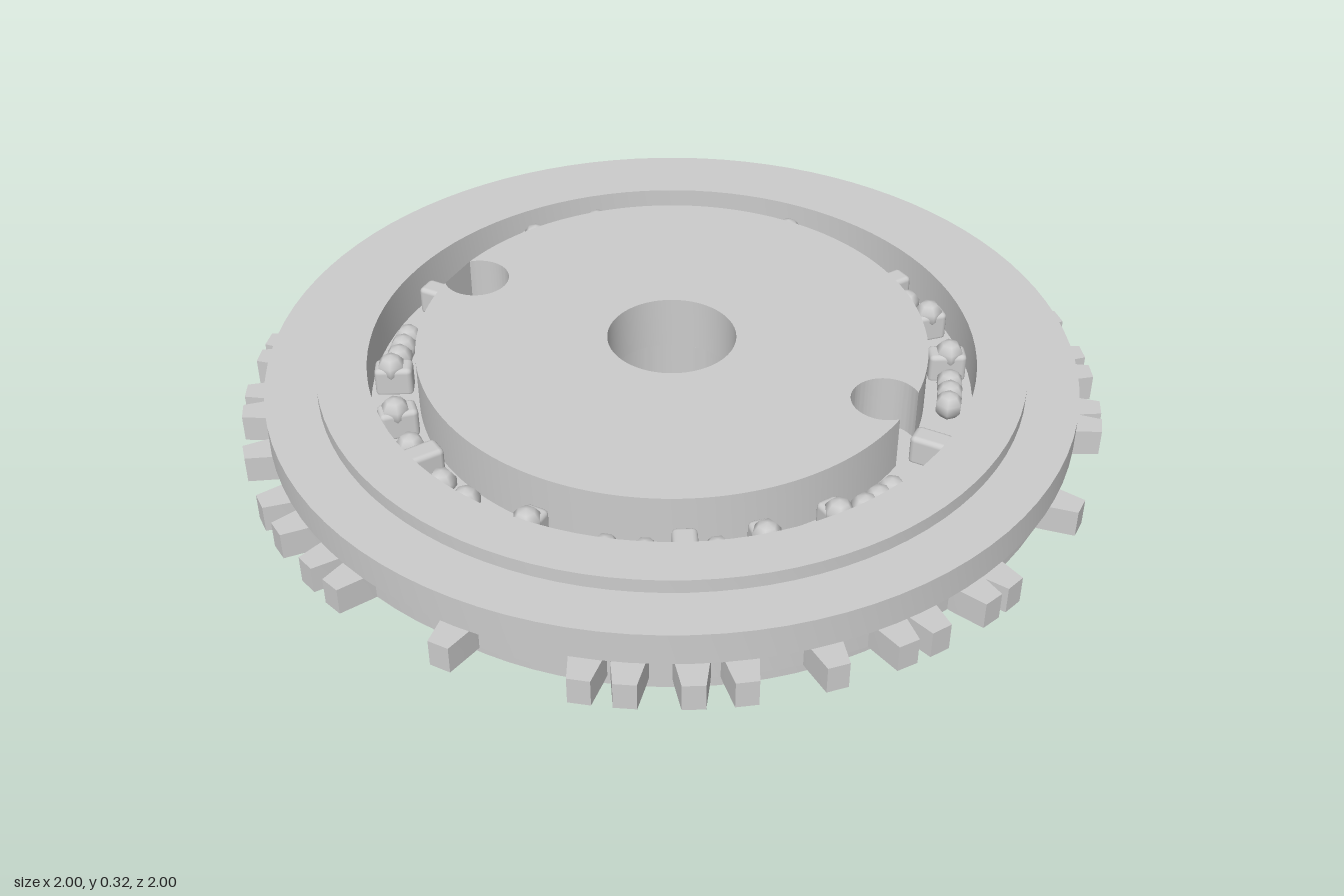
import * as THREE from 'three';
import { toCreasedNormals } from 'three/addons/utils/BufferGeometryUtils.js';
import { RoundedBoxGeometry } from 'three/addons/geometries/RoundedBoxGeometry.js';

const HOLE = 0.15, FLOOR = 0.19, TRACK = 0.65;
const rad = THREE.MathUtils.degToRad;

export function createModel() {
  const model = new THREE.Group();
  model.name = 'gearPlate';
  const grey = new THREE.MeshStandardMaterial({ color: 0xcccccc });

  function add(name, geometry, parent = model) {
    const mesh = new THREE.Mesh(geometry, grey);
    mesh.name = name;
    parent.add(mesh);
    return mesh;
  }

  // Extrude a plan outline upwards from y0 to y1
  function slab(shape, y0, y1, curveSegments = 24) {
    const g = new THREE.ExtrudeGeometry(shape, { depth: y1 - y0, bevelEnabled: false, curveSegments });
    g.rotateX(-Math.PI / 2);
    g.translate(0, y0, 0);
    return toCreasedNormals(g, 0.5);
  }

  function boreHole(shape) {
    const hole = new THREE.Path();
    hole.absarc(0, 0, HOLE, 0, Math.PI * 2, true);
    shape.holes.push(hole);
    return shape;
  }

  // Angles measured from the z axis, mirrored into all four quadrants
  const mirrored = (angles) => [...new Set(angles.flatMap((a) => [a, 180 - a, 180 + a, (360 - a) % 360]))];

  // Stepped body: lower flange, groove, toothed band, upper flange, rim and bead channel
  const profile = [
    [HOLE, 0.02], [0.84, 0.025], [0.84, 0.09], [0.82, 0.09], [0.82, 0.125],
    [0.915, 0.125], [0.915, 0.19], [0.94, 0.19], [0.94, 0.267], [0.82, 0.267],
    [0.82, 0.3], [0.705, 0.3], [0.705, FLOOR], [HOLE, FLOOR], [HOLE, 0.02],
  ].map(([r, y]) => new THREE.Vector2(r, y));
  add('body', toCreasedNormals(new THREE.LatheGeometry(profile, 96), 0.5));

  // Raised centre disc with two round notches opening through its edge
  const discR = 0.593, notchX = 0.535, notchR = 0.078;
  const cutX = (discR ** 2 + notchX ** 2 - notchR ** 2) / (2 * notchX);
  const cutZ = Math.sqrt(discR ** 2 - cutX ** 2);
  const edgeA = Math.atan2(cutZ, cutX);
  const notchA = Math.atan2(cutZ, cutX - notchX);
  const disc = new THREE.Shape();
  disc.absarc(0, 0, discR, edgeA, Math.PI - edgeA, false);
  disc.absarc(-notchX, 0, notchR, Math.PI - notchA, notchA - Math.PI, false);
  // The notch arc runs inwards, so it is traced the long way round towards the hub
  disc.curves.pop();
  disc.absarc(-notchX, 0, notchR, Math.PI - notchA, Math.PI + notchA, true);
  disc.absarc(0, 0, discR, Math.PI + edgeA, 2 * Math.PI - edgeA, false);
  disc.absarc(notchX, 0, notchR, -notchA, notchA, true);
  add('centreDisc', slab(boreHole(disc), FLOOR, 0.32, 40));

  // Two thin faceted plates underneath
  [[0.79, 0.008, 0.026, 0], [0.775, 0, 0.02, 0.12]].forEach(([r, y0, y1, turn]) => {
    const corners = Array.from({ length: 12 }, (_, i) => {
      const a = turn + (i * Math.PI) / 6;
      return new THREE.Vector2(r * Math.cos(a), r * Math.sin(a));
    });
    add('bottomPlate', slab(boreHole(new THREE.Shape(corners)), y0, y1));
  });

  // Tapered teeth at uneven intervals
  const tooth = new THREE.Shape([[-0.04, -0.9], [0.04, -0.9], [0.036, -0.93], [0.024, -1], [-0.024, -1], [-0.036, -0.93]]
    .map(([x, y]) => new THREE.Vector2(x, y)));
  const toothGeometry = slab(tooth, 0.125, 0.19);
  const teeth = new THREE.Group();
  teeth.name = 'teeth';
  model.add(teeth);
  for (const a of mirrored([0, 17.1, 22.3, 30, 36, 46.6, 55.6, 60.2, 68.5, 72.5, 90])) {
    add('tooth', toothGeometry, teeth).rotation.y = rad(a);
  }

  // Small beads and rounded blocks set in the channel
  const studs = new THREE.Group();
  studs.name = 'channelStuds';
  model.add(studs);
  const bead = new THREE.SphereGeometry(0.034, 6, 5);
  const block = new RoundedBoxGeometry(0.055, 0.075, 0.088, 2, 0.012);
  function place(name, geometry, angle, y, r = TRACK) {
    const mesh = add(name, geometry, studs);
    mesh.position.set(r * Math.sin(rad(angle)), y, r * Math.cos(rad(angle)));
    mesh.rotation.y = rad(angle);
  }
  for (const a of mirrored([15.2, 22.6, 36, 67, 70.8, 74.5])) place('bead', bead, a, FLOOR + 0.03);
  for (const a of mirrored([0, 30, 45, 60, 90])) place('block', block, a, FLOOR + 0.03);
  for (const a of mirrored([0, 45, 60])) place('blockBead', bead, a, FLOOR + 0.06, TRACK + 0.005);

  return model;
}
